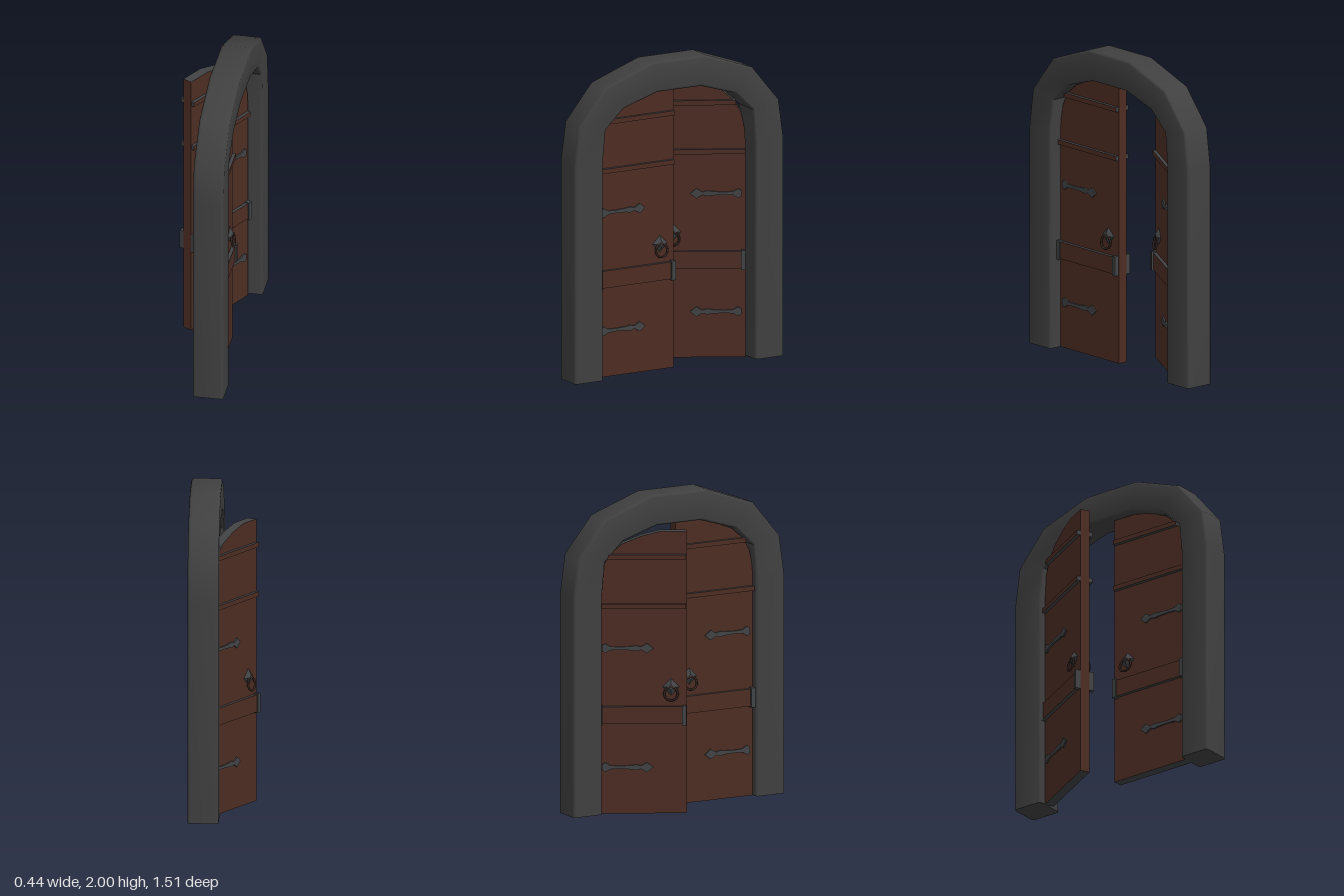
import * as THREE from 'three';
import { toCreasedNormals } from 'three/addons/utils/BufferGeometryUtils.js';

const flat = (name, color) => Object.assign(new THREE.MeshStandardMaterial({ color }), { name });
const stone = flat('darkStone', 0x404040);
const iron = flat('greyIron', 0x414345);
const wood = flat('brownWood', 0x4d2d23);
const ringMetal = flat('darkRing', 0x33241f);

const WIDTH = 0.55, THICK = 0.062;

function add(group, name, geometry, material, x = 0, y = 0, z = 0) {
  const mesh = new THREE.Mesh(geometry, material);
  mesh.name = name;
  mesh.position.set(x, y, z);
  group.add(mesh);
  return mesh;
}

// Flat outline extruded evenly to both sides of z = 0
function slab(points, depth) {
  const shape = new THREE.Shape(points.map(([x, y]) => new THREE.Vector2(x, y)));
  return new THREE.ExtrudeGeometry(shape, { depth, bevelEnabled: false }).translate(0, 0, -depth / 2);
}

// Arch: rounded rectangular section carried along inner and outer outlines (z, y)
function archGeometry() {
  const mirror = (half) => [...half, ...half.slice().reverse().map(([z, y]) => [-z, y])];
  const outer = mirror([[0.755, 0], [0.755, 1.4], [0.72, 1.65], [0.53, 1.88], [0.195, 2]]);
  const inner = mirror([[0.55, 0], [0.55, 1.4], [0.53, 1.61], [0.4, 1.73], [0.16, 1.805]]);
  const section = [], r = 0.02, fr = 0.08;
  [[-1, 1], [1, 1], [1, -1], [-1, -1]].forEach(([sx, sf], c) => {
    for (let i = 0; i <= 3; i++) {
      const a = Math.PI - (c + i / 3) * Math.PI / 2;
      section.push([0.119 + sx * (0.097 - r) + r * Math.cos(a), 0.5 + sf * (0.5 - fr) + fr * Math.sin(a)]);
    }
  });
  const n = section.length, last = (outer.length - 1) * n;
  const pos = [], idx = [];
  outer.forEach(([oz, oy], s) => {
    const [iz, iy] = inner[s];
    for (const [x, f] of section) pos.push(x, iy + (oy - iy) * f, iz + (oz - iz) * f);
    if (s === outer.length - 1) return;
    for (let k = 0; k < n; k++) {
      const a = s * n + k, b = s * n + (k + 1) % n;
      idx.push(a, b, b + n, a, b + n, a + n);
    }
  });
  // Feet
  for (let k = 1; k < n - 1; k++) idx.push(0, k + 1, k, last, last + k, last + k + 1);
  const g = new THREE.BufferGeometry();
  g.setAttribute('position', new THREE.Float32BufferAttribute(pos, 3));
  g.setIndex(idx);
  return toCreasedNormals(g, 0.7);
}

// Door leaf: hinge edge at x = 0, free edge at x = WIDTH, details on both faces
function doorLeaf(name) {
  const door = new THREE.Group();
  door.name = name;

  const outline = [[0, 0], [WIDTH, 0], [WIDTH, 1.8], [0.39, 1.8], [0.27, 1.77], [0.15, 1.72],
    [0.07, 1.65], [0.025, 1.57], [0.005, 1.47], [0, 1.4]];
  add(door, 'doorPanel', slab(outline, THICK), [wood, iron]);
  add(door, 'freeEdge', new THREE.BoxGeometry(0.004, 1.8, THICK), wood, WIDTH + 0.002, 0.9);

  // Raised cross bands with wooden faces
  const bandFaces = [iron, iron, iron, iron, wood, wood];
  for (const [y, h, start] of [[1.64, 0.03, 0.06], [1.325, 0.03, 0], [0.63, 0.11, 0]]) {
    add(door, 'crossBand', new THREE.BoxGeometry(WIDTH - start, h, 0.105), bandFaces, (WIDTH + start) / 2, y);
  }
  // Iron clasps at the ends of the wide band
  for (const x of [0.0125, WIDTH - 0.0125]) {
    for (const side of [1, -1]) {
      add(door, 'clasp', new THREE.BoxGeometry(0.028, 0.125, 0.032), iron, x, 0.63, side * 0.047);
    }
  }

  // Hinge straps with a diamond tip
  const top = [[0.025, 0.018], [0.045, 0.03], [0.075, 0.012], [0.13, 0.009], [0.2, 0.012],
    [0.24, 0.018], [0.262, 0.01], [0.275, 0.013], [0.305, 0.032]];
  const strap = slab([...top.map(([x, y]) => [x, -y]), [0.345, 0], ...top.slice().reverse()], 0.082);
  for (const y of [1.055, 0.295]) add(door, 'hingeStrap', strap, iron, 0, y);

  // Ring handles on diamond plates
  const plate = toCreasedNormals(new THREE.CylinderGeometry(0.018, 0.054, 0.022, 4), 0.3);
  for (const side of [1, -1]) {
    add(door, 'handlePlate', plate, iron, 0.455, 0.808, side * (THICK / 2 + 0.011))
      .rotation.x = side * Math.PI / 2;
    add(door, 'ringHandle', new THREE.TorusGeometry(0.042, 0.007, 8, 20), ringMetal,
      0.455, 0.768, side * (THICK / 2 + 0.023)).rotation.x = -side * 0.15;
  }
  return door;
}

export function createModel() {
  const model = new THREE.Group();
  model.name = 'archedDoorway';
  add(model, 'stoneArch', archGeometry(), stone);

  const closed = doorLeaf('closedDoor');
  closed.position.set(0.1, 0, 0.55);
  closed.rotation.y = Math.PI / 2;

  const open = doorLeaf('openDoor');
  open.position.set(0.1, 0, -0.54);
  open.rotation.y = -THREE.MathUtils.degToRad(119);

  model.add(closed, open);
  return model;
}
